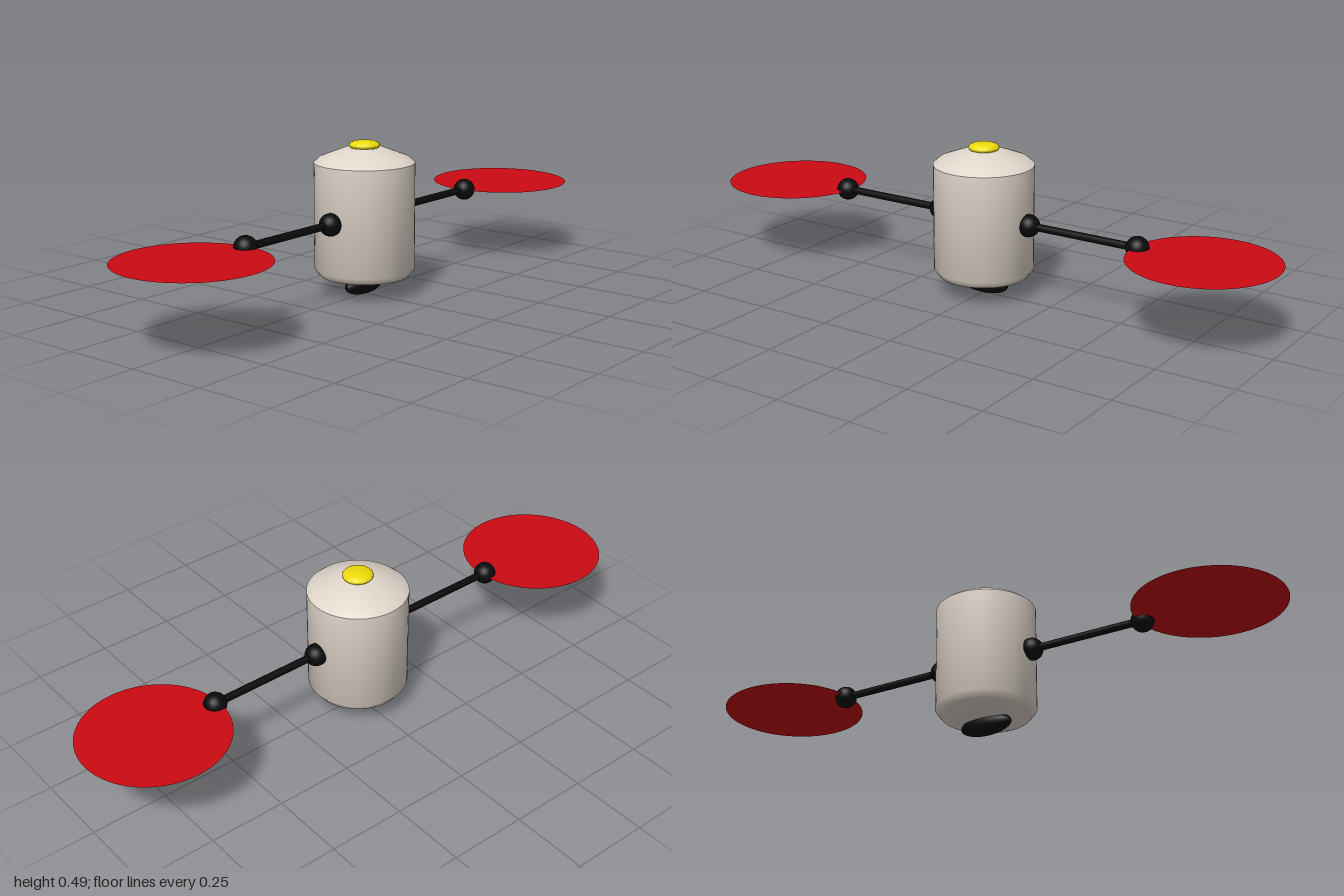
import * as THREE from 'three';
import { toCreasedNormals } from 'three/addons/utils/BufferGeometryUtils.js';

const mat = (color, side = THREE.FrontSide) => new THREE.MeshStandardMaterial({ color, side });

function lathe(points, crease) {
  const geo = new THREE.LatheGeometry(points.map(([r, y]) => new THREE.Vector2(r, y)), 48);
  return toCreasedNormals(geo, crease);
}

export function createModel() {
  const group = new THREE.Group();
  const shell = mat(0xe0d6cb), black = mat(0x0a0a0a), yellow = mat(0xeedc0a);
  const red = mat(0xcc0a12, THREE.DoubleSide);

  const add = (name, geo, material, parent, x = 0, y = 0, z = 0) => {
    const mesh = new THREE.Mesh(geo, material);
    mesh.name = name;
    mesh.position.set(x, y, z);
    parent.add(mesh);
    return mesh;
  };

  // Drum body with chamfered, shallow conical ends
  add('body', lathe([
    [0, 0.046], [0.062, 0.046], [0.143, 0.064], [0.16, 0.086],
    [0.16, 0.427], [0.143, 0.441], [0.057, 0.474], [0, 0.474],
  ], 0.7), shell, group);

  // Rounded button on top
  add('topCap', lathe([
    [0, 0.47], [0.044, 0.472], [0.048, 0.478], [0.048, 0.483],
    [0.044, 0.488], [0.034, 0.492], [0, 0.493],
  ], 1), yellow, group);

  // Long ellipsoid under the body
  const belly = add('bellyPod', new THREE.SphereGeometry(1, 32, 20), black, group, 0, 0.033, 0);
  belly.scale.set(0.033, 0.033, 0.09);

  // Mirrored arms: two ball joints, a rod and a thin round panel
  const ball = new THREE.SphereGeometry(0.036, 32, 20);
  const rod = new THREE.CylinderGeometry(0.012, 0.012, 0.39, 16).rotateX(Math.PI / 2);
  const disc = new THREE.CircleGeometry(0.232, 64).rotateX(-Math.PI / 2);
  for (const [name, s] of [['front', 1], ['back', -1]]) {
    const arm = new THREE.Group();
    arm.name = name + 'Arm';
    arm.position.y = 0.253;
    add(name + 'InnerJoint', ball, black, arm, 0, 0, s * 0.168);
    add(name + 'Rod', rod, black, arm, 0, 0, s * 0.355);
    add(name + 'OuterJoint', ball, black, arm, 0, 0, s * 0.55);
    add(name + 'Panel', disc, red, arm, 0, 0, s * 0.768);
    group.add(arm);
  }
  return group;
}
